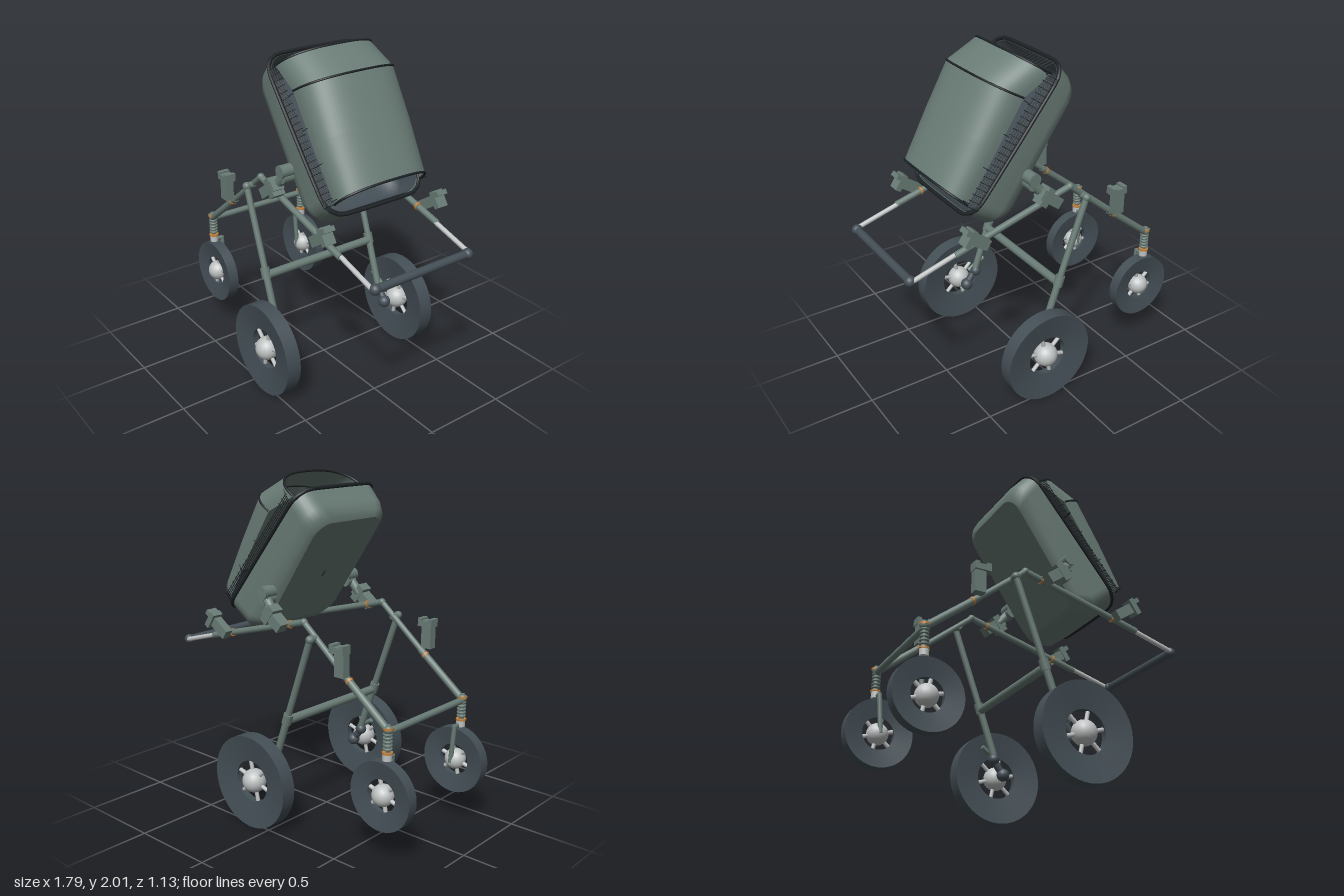
import * as THREE from 'three';

const mat = (name, color) => new THREE.MeshStandardMaterial({ name, color, side: THREE.DoubleSide });
const V = (x, y, z) => new THREE.Vector3(x, y, z);

export function createModel() {
  const model = new THREE.Group();
  const green = mat('sage green', 0x6a7c76);
  const dark = mat('dark slate', 0x444f56);
  const black = mat('black trim', 0x1d2225);
  const silver = mat('light grey', 0xbfc2c2);
  const orange = mat('orange', 0xc0803c);

  const add = (parent, name, geo, m, pos) => {
    const mesh = new THREE.Mesh(geo, m);
    mesh.name = name;
    if (pos) mesh.position.copy(pos);
    parent.add(mesh);
    return mesh;
  };
  // straight round bar between two points
  const rod = (parent, name, a, b, r, m, sides = 14, r2 = r) => {
    const dir = b.clone().sub(a);
    const mesh = add(parent, name, new THREE.CylinderGeometry(r2, r, dir.length(), sides), m,
      a.clone().add(b).multiplyScalar(0.5));
    mesh.quaternion.setFromUnitVectors(V(0, 1, 0), dir.normalize());
    return mesh;
  };
  const ball = (parent, name, p, r, m) => add(parent, name, new THREE.SphereGeometry(r, 20, 14), m, p);
  const box = (parent, name, x, y, z, w, h, d, angle, m = green) => {
    const b = add(parent, name, new THREE.BoxGeometry(w, h, d), m, V(x, y, z));
    b.rotation.z = angle;
    return b;
  };
  // skin through rings of equal point count
  const loft = (rings, closed) => {
    const n = rings[0].length, idx = [];
    for (let i = 0; i < rings.length - 1; i++)
      for (let j = 0; j < (closed ? n : n - 1); j++) {
        const a = i * n + j, b = i * n + (j + 1) % n;
        idx.push(a, b, a + n, b, b + n, a + n);
      }
    const g = new THREE.BufferGeometry().setFromPoints(rings.flat());
    g.setIndex(idx);
    g.computeVertexNormals();
    return g;
  };
  const trim = (parent, name, pts, r, closed, m = black) => add(parent, name,
    new THREE.TubeGeometry(new THREE.CatmullRomCurve3(pts, closed), pts.length * 2, r, 8, closed), m);

  // wheel: dished tyre, spokes and round hub
  const wheel = (name, x, y, z, r, inner, halfW, hubR) => {
    const g = new THREE.Group();
    g.name = name;
    g.position.set(x, y, z);
    const t = halfW * 0.45;
    const faces = [[[inner, -t], [r, -halfW]], [[r, -halfW], [r, halfW]],
      [[r, halfW], [inner, t]], [[inner, t], [inner, -t]]];
    for (const f of faces)
      add(g, 'tyre', new THREE.LatheGeometry(f.map(p => new THREE.Vector2(...p)), 48), dark)
        .rotation.x = Math.PI / 2;
    for (let i = 0; i < 6; i++) {
      const a = i * Math.PI / 3 + 0.3;
      rod(g, 'spoke', V(0, 0, 0), V(Math.cos(a) * (inner + 0.01), Math.sin(a) * (inner + 0.01), 0), 0.012, silver, 8);
    }
    ball(g, 'hub', V(0, 0, 0), hubR, silver);
    model.add(g);
  };

  // chassis, mirrored to both sides
  for (const s of [1, -1]) {
    const P = (x, y, z) => V(x, y, z * s);
    wheel('frontWheel', -0.70, 0.38, 0.338 * s, 0.196, 0.092, 0.033, 0.062);
    wheel('rearWheel', 0.115, 0.275, 0.494 * s, 0.275, 0.122, 0.044, 0.07);

    // front leg, spring and fork
    rod(model, 'frontLeg', P(-0.72, 0.755, 0.34), P(-0.43, 0.985, 0.34), 0.021, green);
    rod(model, 'frontLegUpper', P(-0.43, 0.985, 0.34), P(-0.14, 1.225, 0.34), 0.017, green);
    rod(model, 'legBand', P(-0.47, 0.954, 0.34), P(-0.46, 0.962, 0.34), 0.024, orange);
    ball(model, 'frontJoint', P(-0.73, 0.755, 0.34), 0.026, green);
    rod(model, 'springBandTop', P(-0.73, 0.755, 0.34), P(-0.73, 0.767, 0.34), 0.028, orange);
    rod(model, 'springCore', P(-0.73, 0.60, 0.34), P(-0.73, 0.78, 0.34), 0.014, green);
    for (let i = 0; i < 5; i++)
      add(model, 'springCoil', new THREE.TorusGeometry(0.02, 0.007, 8, 18), green, P(-0.727, 0.65 + i * 0.02, 0.34))
        .rotation.x = Math.PI / 2;
    rod(model, 'springFoot', P(-0.725, 0.585, 0.34), P(-0.725, 0.625, 0.34), 0.026, silver);
    rod(model, 'springBandBottom', P(-0.727, 0.622, 0.34), P(-0.727, 0.632, 0.34), 0.03, orange);
    rod(model, 'forkTop', P(-0.72, 0.595, 0.34), P(-0.72, 0.595, 0.288), 0.013, green);
    rod(model, 'fork', P(-0.72, 0.60, 0.288), P(-0.70, 0.37, 0.288), 0.014, green);
    rod(model, 'frontAxle', P(-0.70, 0.38, 0.28), P(-0.70, 0.38, 0.34), 0.014, green);

    // rear leg and axle
    rod(model, 'rearLeg', P(-0.225, 1.15, 0.385), P(-0.045, 0.65, 0.385), 0.019, green);
    ball(model, 'rearLegTop', P(-0.225, 1.15, 0.385), 0.024, green);
    rod(model, 'rearLegPin', P(-0.225, 1.15, 0.33), P(-0.225, 1.15, 0.40), 0.02, green);
    rod(model, 'rearLegCollar', P(-0.06, 0.69, 0.385), P(-0.04, 0.63, 0.385), 0.028, green);
    rod(model, 'rearLegLower', P(-0.045, 0.65, 0.385), P(0.05, 0.38, 0.385), 0.021, green);
    ball(model, 'rearPivot', P(0.05, 0.36, 0.385), 0.034, dark);
    rod(model, 'rearArm', P(0.05, 0.36, 0.392), P(0.115, 0.275, 0.392), 0.022, dark);
    ball(model, 'rearAxleBall', P(0.115, 0.275, 0.39), 0.038, dark);
    rod(model, 'rearAxle', P(0.115, 0.275, 0.39), P(0.115, 0.275, 0.49), 0.014, silver);
    rod(model, 'rearDamper', P(-0.02, 0.43, 0.40), P(0.09, 0.36, 0.41), 0.014, green);

    // push bar
    ball(model, 'topJoint', P(-0.14, 1.225, 0.34), 0.022, green);
    rod(model, 'pushBar', P(-0.14, 1.225, 0.34), P(0.60, 1.025, 0.34), 0.019, green);
    rod(model, 'pushBarExtension', P(0.59, 1.028, 0.335), P(0.86, 0.95, 0.335), 0.014, silver);
    rod(model, 'pushBarBand', P(-0.04, 1.198, 0.34), P(-0.03, 1.195, 0.34), 0.024, orange);
    rod(model, 'pushBarBand', P(0.43, 1.071, 0.34), P(0.442, 1.068, 0.34), 0.024, orange);
    ball(model, 'handleEnd', P(0.86, 0.95, 0.32), 0.031, dark);

    // clip-on brackets
    box(model, 'frontClip', -0.45, 1.055, 0.385 * s, 0.065, 0.13, 0.05, 0);
    box(model, 'frontClipHead', -0.44, 1.135, 0.39 * s, 0.095, 0.035, 0.065, 0);
    box(model, 'frontClipLip', -0.475, 1.15, 0.39 * s, 0.025, 0.03, 0.065, 0);
    box(model, 'frontClipLip', -0.405, 1.15, 0.39 * s, 0.025, 0.03, 0.065, 0);
    box(model, 'rearClip', 0.485, 1.10, 0.385 * s, 0.13, 0.06, 0.05, 0.6);
    box(model, 'rearClipHead', 0.545, 1.14, 0.39 * s, 0.035, 0.10, 0.07, 0.6);
    box(model, 'rearClipLip', 0.55, 1.175, 0.39 * s, 0.05, 0.028, 0.07, 0.6);

    // seat mount
    box(model, 'mountBase', 0.035, 1.225, 0.385 * s, 0.15, 0.06, 0.07, 0.65);
    box(model, 'mountBlock', 0.065, 1.245, 0.385 * s, 0.05, 0.11, 0.075, 0.65);
    rod(model, 'mountArm', P(0.06, 1.245, 0.37), P(0.13, 1.33, 0.36), 0.027, green);
    rod(model, 'mountDisc', P(0.13, 1.355, 0.31), P(0.13, 1.355, 0.395), 0.037, green, 20);
    rod(model, 'mountDiscLower', P(0.13, 1.32, 0.31), P(0.13, 1.32, 0.38), 0.034, green, 20);
  }
  // cross bars
  rod(model, 'frontCrossBar', V(-0.73, 0.742, -0.34), V(-0.73, 0.742, 0.34), 0.019, green);
  rod(model, 'rearCrossBar', V(-0.045, 0.648, -0.385), V(-0.045, 0.648, 0.385), 0.025, green);
  rod(model, 'handle', V(0.86, 0.95, -0.32), V(0.86, 0.95, 0.32), 0.024, dark);

  // tilted seat: local x runs head to foot, local y points out of the tray
  const seat = new THREE.Group();
  seat.name = 'seat';
  seat.position.set(0.195, 1.565, 0);
  seat.rotation.z = -0.891;
  model.add(seat);

  // rounded rectangle ring; height is a function of x
  const ring = (x0, x1, hw, r, h) => {
    const pts = [];
    const corners = [[x1 - r, hw - r], [x0 + r, hw - r], [x0 + r, r - hw], [x1 - r, r - hw]];
    corners.forEach(([cx, cz], k) => {
      for (let i = 0; i <= 7; i++) {
        const a = (k + i / 7) * Math.PI / 2;
        const x = cx + r * Math.cos(a);
        pts.push(V(x, h(x), cz + r * Math.sin(a)));
      }
    });
    return pts;
  };
  const floorH = x => -0.222 - 0.085 * x;
  const trayRings = d => [
    ring(-0.465 + d, 0.47 - d, 0.33 - d, 0.11, () => 0),
    ring(-0.445 + d, 0.465 - d, 0.325 - d, 0.11, x => floorH(x) * 0.6),
    ring(-0.425 + d, 0.42 - d, 0.31 - d, 0.11, x => floorH(x) * 0.87 + d),
    ring(-0.39 + d, 0.35 - d, 0.275 - d, 0.10, x => floorH(x) + d),
  ];
  const floorCap = d => [trayRings(d)[3], ring(-0.02, 0.02, 0.01, 0.005, x => floorH(x) + d)];
  add(seat, 'trayWall', loft(trayRings(0), true), green);
  add(seat, 'trayFloor', loft(floorCap(0), true), green);
  add(seat, 'liningWall', loft(trayRings(0.012), true), dark);
  add(seat, 'liningFloor', loft(floorCap(0.012), true), dark);
  trim(seat, 'trayRim', ring(-0.468, 0.472, 0.332, 0.11, () => 0), 0.011, true);

  // hood: arched sections [xEdge, xTop, edge height, top height, half width]
  const arch = ([xe, xt, e, t, w]) => Array.from({ length: 33 }, (_, i) => {
    const a = Math.PI * i / 32, c = Math.cos(a), k = Math.pow(Math.abs(Math.sin(a)), 0.78);
    return V(xe + (xt - xe) * k, e + (t - e) * k, w * Math.sign(c) * Math.pow(Math.abs(c), 0.78));
  });
  const frontArch = arch([-0.394, -0.373, 0.03, 0.23, 0.30]);
  const seamArch = arch([-0.21, -0.175, 0.11, 0.315, 0.31]);
  const midArch = arch([0.1, 0.11, 0.078, 0.264, 0.308]);
  const footArch = arch([0.414, 0.404, 0.044, 0.206, 0.295]);
  add(seat, 'hoodVisor', loft([frontArch, seamArch], false), green);
  add(seat, 'hoodCanopy', loft([seamArch, midArch, footArch], false), green);
  trim(seat, 'hoodFrontTrim', frontArch, 0.007, false);
  trim(seat, 'hoodSeam', seamArch, 0.006, false);
  trim(seat, 'hoodFootTrim', footArch, 0.007, false);

  // wire mesh along both sides and around the head
  const wire = (a, b) => rod(seat, 'meshWire', a, b, 0.0022, black, 5);
  for (const s of [1, -1]) {
    for (let i = 0; i < 5; i++) {
      const h = 0.008 + i * 0.014;
      wire(V(-0.38, h, s * (0.338 - i * 0.004)), V(0.41, h, s * (0.338 - i * 0.004)));
    }
    for (let i = 0; i <= 22; i++) {
      const x = -0.38 + i * 0.036;
      wire(V(x, 0, s * 0.338), V(x + 0.006, 0.075, s * 0.318));
    }
    for (const x of [-0.38, -0.2, 0, 0.2, 0.4]) wire(V(x, 0.06, s * 0.32), V(x, 0.1, s * 0.308));
  }
  for (let i = 0; i <= 16; i++) {
    const z = -0.24 + i * 0.03;
    wire(V(-0.462, 0, z), V(-0.395, 0.045, z * 0.96));
  }
  return model;
}
